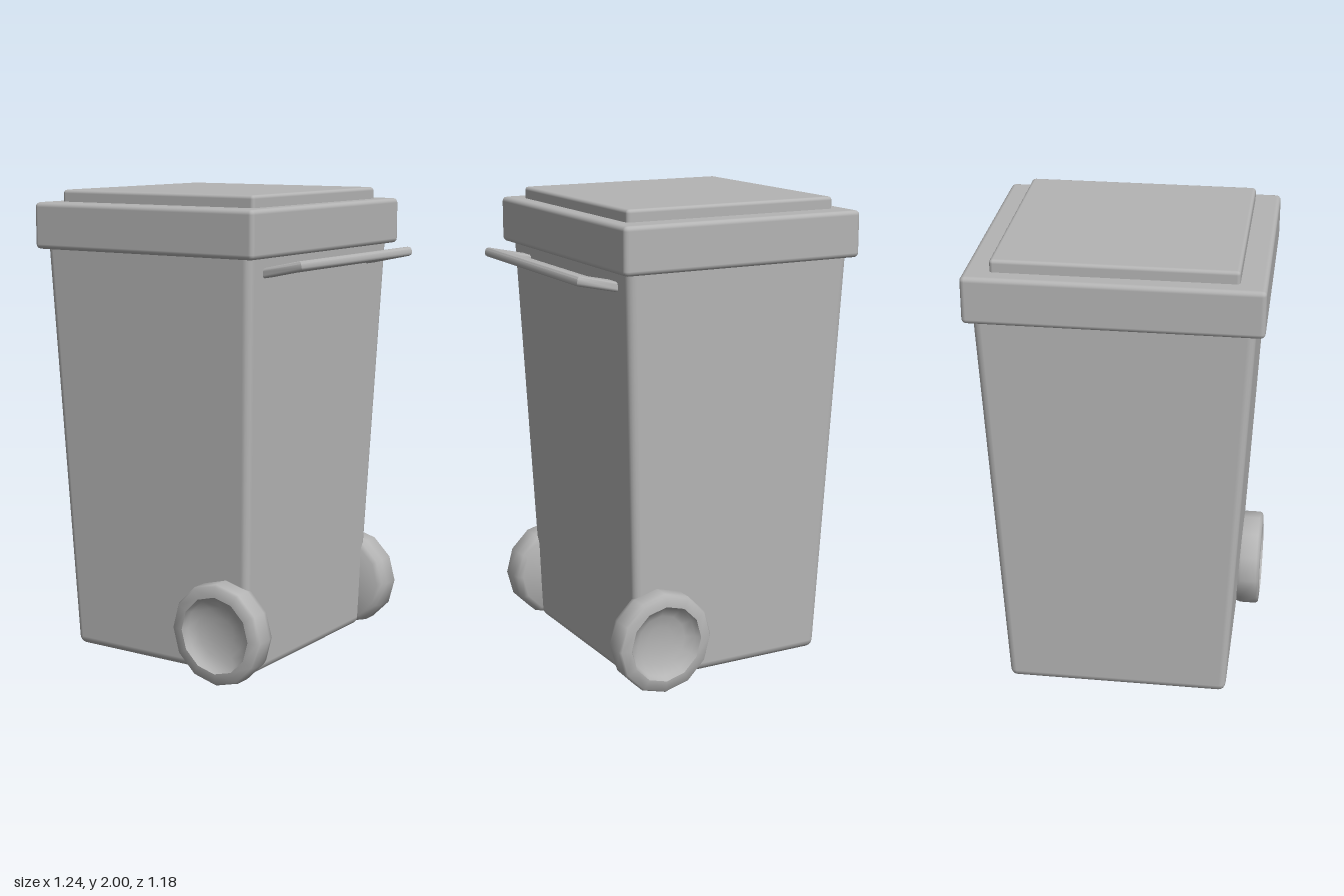
import * as THREE from 'three';
import { toCreasedNormals } from 'three/addons/utils/BufferGeometryUtils.js';
import { RoundedBoxGeometry } from 'three/addons/geometries/RoundedBoxGeometry.js';

export function createModel() {
  const group = new THREE.Group();
  const grey = new THREE.MeshStandardMaterial({ color: 0xb4b4b4 });
  grey.name = 'grey plastic';

  function add(name, geometry, x = 0, y = 0, z = 0) {
    const mesh = new THREE.Mesh(geometry, grey);
    mesh.name = name;
    mesh.position.set(x, y, z);
    group.add(mesh);
    return mesh;
  }

  // Tapered bin body: a rounded box narrowed towards its base
  const height = 1.8;
  const body = new RoundedBoxGeometry(1.03, height, 1.114, 2, 0.035);
  const p = body.attributes.position;
  for (let i = 0; i < p.count; i++) {
    const t = p.getY(i) / height + 0.5;
    p.setX(i, p.getX(i) * (0.862 + 0.138 * t));
    p.setZ(i, p.getZ(i) * (0.85 + 0.15 * t));
  }
  add('binBody', body, -0.073, 0.015 + height / 2);

  // Lid with a raised panel
  add('lid', new RoundedBoxGeometry(1.095, 0.195, 1.18, 2, 0.02), -0.0725, 1.8525);
  add('lidPanel', new RoundedBoxGeometry(0.96, 0.1, 0.97, 2, 0.015), -0.07, 1.95);

  // U-shaped handle, bevelled and tilted upwards away from the body
  const b = 0.012;
  const outline = [[0, -0.45], [0.2, -0.45], [0.2, 0.45], [0, 0.45], [0, 0.37], [0.12, 0.37], [0.12, -0.37], [0, -0.37]];
  const handleShape = new THREE.Shape(outline.map(([x, y]) => new THREE.Vector2(x, y)));
  const handleGeo = new THREE.ExtrudeGeometry(handleShape, {
    depth: 0.016, bevelEnabled: true, bevelSize: b, bevelThickness: b, bevelOffset: -b / 2, bevelSegments: 2,
  });
  handleGeo.translate(0, 0, -0.008).rotateX(-Math.PI / 2).rotateZ(0.21);
  add('handle', toCreasedNormals(handleGeo, 0.9), 0.412, 1.69);

  // Twelve-sided wheels with a dished outer face
  const profile = [
    [0, 0], [0.185, 0], [0.204, 0.012], [0.215, 0.045], [0.215, 0.115], [0.207, 0.126], [0.163, 0.13],
    [0.15, 0.105], [0.11, 0.085], [0.06, 0.075], [0, 0.072],
  ].map(([r, y]) => new THREE.Vector2(r, y));
  const wheelGeo = toCreasedNormals(new THREE.LatheGeometry(profile, 12), 0.95);
  for (const side of [1, -1]) {
    const wheel = add(side > 0 ? 'frontWheel' : 'backWheel', wheelGeo, 0.285, 0.216, side * 0.45);
    wheel.rotation.x = side * Math.PI / 2;
  }

  return group;
}
